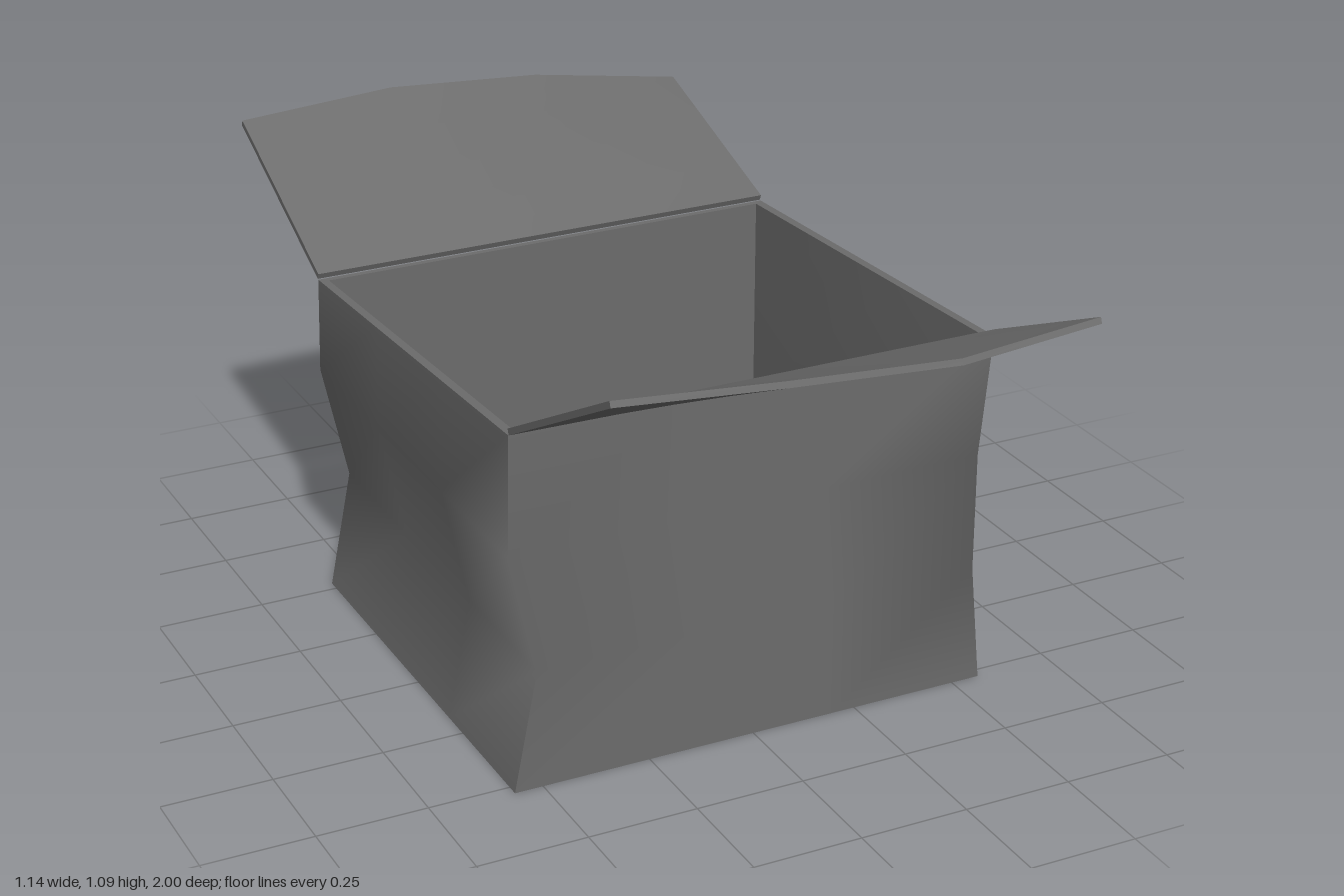
import * as THREE from 'three';

const material = new THREE.MeshStandardMaterial({ color: 0x6c6c6c });

const FRONT_TOP = 0.828, BACK_TOP = 0.774, DEPTH = 0.527;
const WALL_X = 0.02, WALL_Z = 0.015, FLOOR = 0.012;

// Wall profiles at four heights: the side walls are crumpled inwards
const LEFT_WALL = [-0.565, -0.51, -0.57, -0.565];
const RIGHT_WALL_FRONT = [0.567, 0.54, 0.54, 0.567];
const RIGHT_WALL_BACK = [0.567, 0.567, 0.567, 0.567];

const lerp = THREE.MathUtils.lerp;

// Piecewise linear lookup in evenly spaced values, t in 0..1
function sample(values, t) {
  const s = t * (values.length - 1);
  const i = Math.min(Math.floor(s + 1e-6), values.length - 2);
  return lerp(values[i], values[i + 1], s - i);
}

// Point on the box shell; sx and sz run -1..1, t runs bottom to top
function shellPoint(sx, t, sz, inner) {
  const k = inner ? 1 : 0;
  const back = (1 - sz) / 2;
  const x0 = sample(LEFT_WALL, t) + k * WALL_X;
  const x1 = lerp(sample(RIGHT_WALL_FRONT, t), sample(RIGHT_WALL_BACK, t), back) - k * WALL_X;
  const top = lerp(FRONT_TOP, BACK_TOP, back);
  return new THREE.Vector3(
    lerp(x0, x1, (sx + 1) / 2),
    sample([k * FLOOR, 0.277, 0.553, top], t),
    sz * (DEPTH - k * WALL_Z)
  );
}

// Smooth surface from a rule (u to the right, v up, seen from its front)
function patch(name, nu, nv, rule) {
  const geometry = new THREE.PlaneGeometry(1, 1, nu, nv);
  const pos = geometry.attributes.position;
  for (let i = 0; i < pos.count; i++) {
    const p = rule(pos.getX(i) + 0.5, pos.getY(i) + 0.5);
    pos.setXYZ(i, p.x, p.y, p.z);
  }
  geometry.computeVertexNormals();
  const mesh = new THREE.Mesh(geometry, material);
  mesh.name = name;
  return mesh;
}

// Soft shading round the crumpled middle of the upright corners
function softenCorners(mesh) {
  const { position, normal } = mesh.geometry.attributes;
  for (const row of [1, 2]) {
    for (const column of [0, 3]) {
      const i = row * 4 + column;
      normal.setXYZ(i, Math.sign(position.getX(i)) * Math.SQRT1_2, 0,
        Math.sign(position.getZ(i)) * Math.SQRT1_2);
    }
  }
  return mesh;
}

// Hinged flap: a thin slab whose outer edge follows a wavy line
function flap(name, side, hinge, edgeX, edgeY) {
  const thickness = 0.013, lean = 0.005;
  const geometry = new THREE.BoxGeometry(1, 1, 1, 3, 1, 4);
  const pos = geometry.attributes.position;
  for (let i = 0; i < pos.count; i++) {
    const u = pos.getX(i) + 0.5;
    const up = pos.getY(i) + 0.5;
    const out = side * pos.getZ(i) + 0.5;
    pos.setXYZ(i,
      lerp(lerp(-0.565, 0.567, u), sample(edgeX, u), out),
      lerp(hinge, sample(edgeY, u) - thickness, out) + up * thickness,
      side * (lerp(DEPTH + 0.003, 1, out) - up * lean));
  }
  geometry.computeVertexNormals();
  const mesh = new THREE.Mesh(geometry, material);
  mesh.name = name;
  return mesh;
}

export function createModel() {
  const model = new THREE.Group();
  model.name = 'openBox';

  // Four walls, each with an outer face, an inner face and a rim strip
  const sides = {
    front: (u) => [2 * u - 1, 1],
    left: (u) => [1, 1 - 2 * u],
    back: (u) => [1 - 2 * u, -1],
    right: (u) => [-1, 2 * u - 1],
  };
  for (const [side, path] of Object.entries(sides)) {
    const at = (u, t, inner) => {
      const [sx, sz] = path(u);
      return shellPoint(sx, t, sz, inner);
    };
    const wall = new THREE.Group();
    wall.name = side + 'Wall';
    wall.add(
      softenCorners(patch(side + 'Outside', 3, 3, (u, v) => at(u, v, false))),
      patch(side + 'Inside', 3, 3, (u, v) => at(1 - u, v, true)),
      patch(side + 'Rim', 3, 1, (u, v) => at(u, 1, false).lerp(at(u, 1, true), v))
    );
    model.add(wall);
  }

  // Underside and inner floor
  model.add(
    patch('underside', 1, 1, (u, v) => shellPoint(2 * u - 1, 0, 2 * v - 1, false)),
    patch('floor', 1, 1, (u, v) => shellPoint(2 * u - 1, 0, 1 - 2 * v, true))
  );

  // Opened lid flaps
  model.add(
    flap('frontFlap', 1, FRONT_TOP + 0.001,
      [-0.565, -0.19, 0.195, 0.512], [1.094, 1.06, 1.032, 1.06]),
    flap('backFlap', -1, BACK_TOP + 0.001,
      [-0.565, -0.19, 0.19, 0.567], [1.005, 1.03, 1.005, 0.943])
  );
  return model;
}
